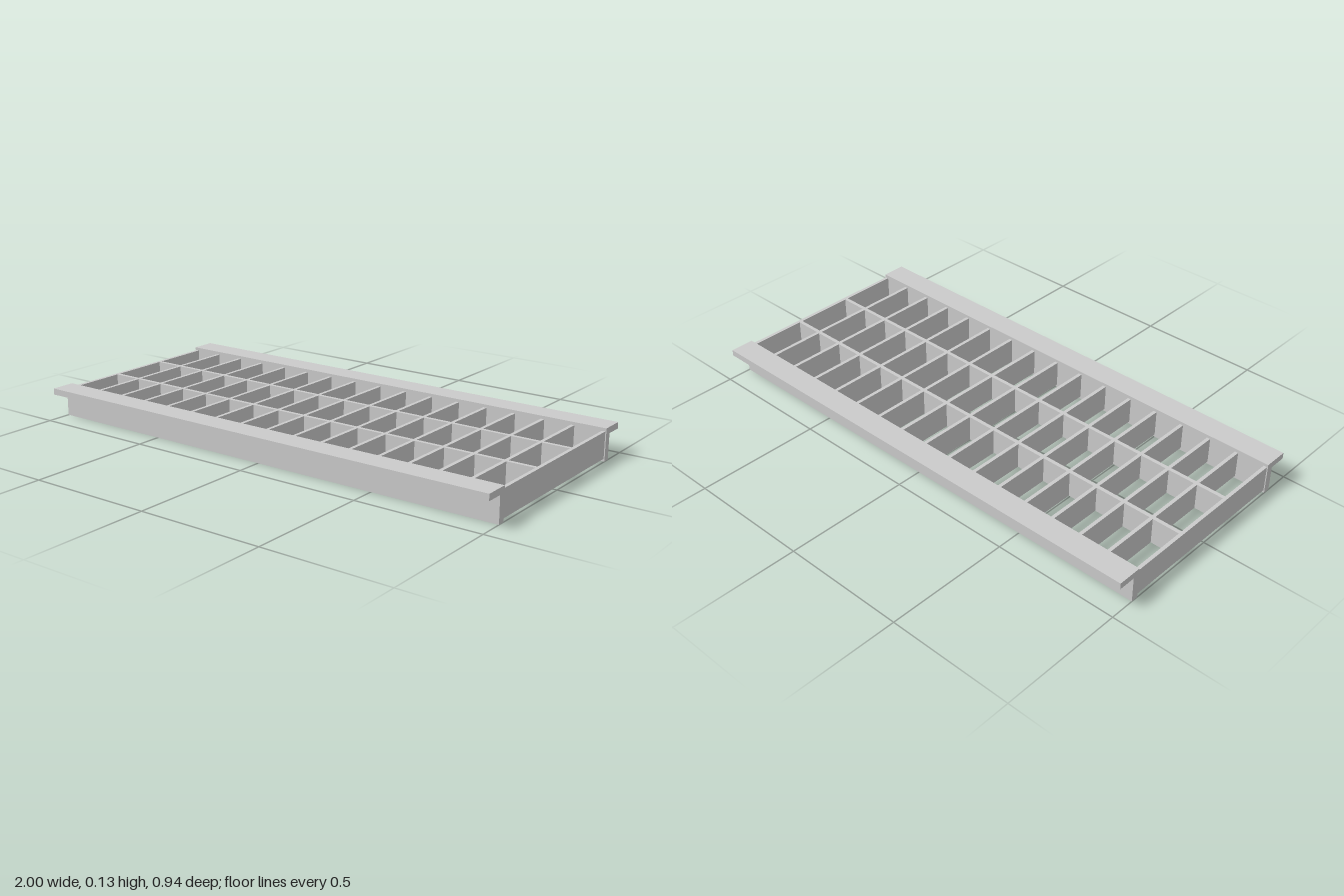
import * as THREE from 'three';

export function createModel() {
  const group = new THREE.Group();
  const material = new THREE.MeshStandardMaterial({ color: 0xcccccc });

  function add(name, geometry) {
    const mesh = new THREE.Mesh(geometry, material);
    mesh.name = name;
    group.add(mesh);
    return mesh;
  }

  // Side rails: an L profile (z, y) with its flange facing outward, extruded along x
  const profile = new THREE.Shape([
    [0.372, 0], [0.4, 0], [0.4, 0.102], [0.47, 0.102], [0.47, 0.127], [0.372, 0.127],
  ].map(([z, y]) => new THREE.Vector2(z, y)));
  const railGeometry = new THREE.ExtrudeGeometry(profile, { depth: 2, bevelEnabled: false });
  railGeometry.rotateY(-Math.PI / 2).translate(1, 0, 0);
  add('frontRail', railGeometry);
  add('backRail', railGeometry).rotation.y = Math.PI;

  // Cross slats spanning between the rails
  const slatCount = 17, reach = 0.989;
  const bottom = 0.01, top = 0.115;
  const height = top - bottom, middle = (top + bottom) / 2;
  const slatGeometry = new THREE.BoxGeometry(0.014, height, 0.744);
  for (let i = 0; i < slatCount; i++) {
    const x = -reach + (2 * reach * i) / (slatCount - 1);
    add('crossSlat', slatGeometry).position.set(x, middle, 0);
  }

  // Two long dividers running through the slats
  const dividerGeometry = new THREE.BoxGeometry(2 * reach, height, 0.015);
  for (const z of [-0.127, 0.127]) {
    add('longDivider', dividerGeometry).position.set(0, middle, z);
  }

  return group;
}
